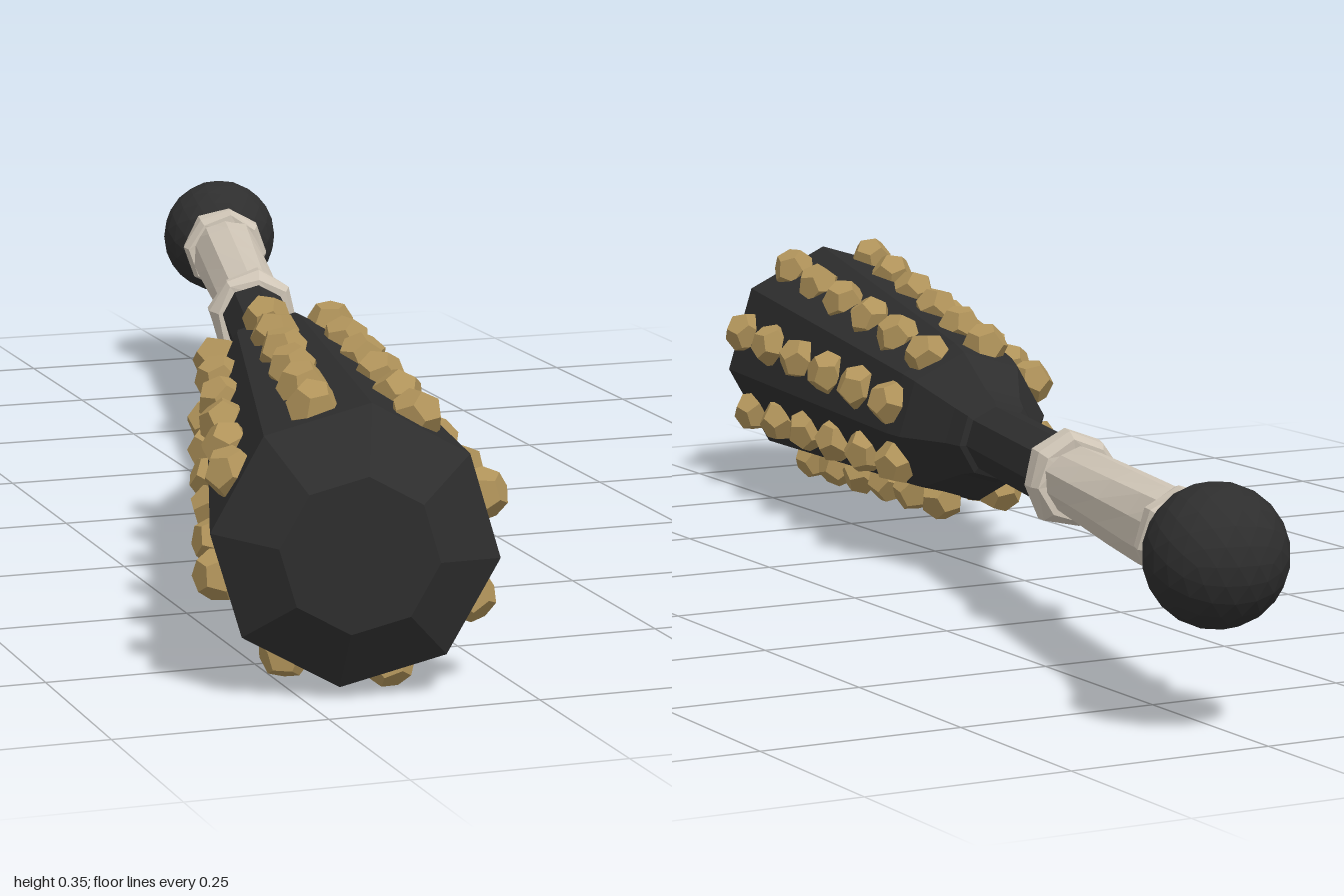
import * as THREE from 'three';

const black = new THREE.MeshStandardMaterial({ name: 'blackened wood', color: 0x2e2e2e, flatShading: true });
const bone = new THREE.MeshStandardMaterial({ name: 'pale bone', color: 0xd0c6b7, flatShading: true });
const brass = new THREE.MeshStandardMaterial({ name: 'dull brass', color: 0xb0935a, flatShading: true });

const DEG = Math.PI / 180;

// Faceted turned part; profile is [radius, distance along the axis].
function turned(name, profile, material, sides = 8, start = 39 * DEG) {
  const points = profile.map(([r, y]) => new THREE.Vector2(r, y));
  const mesh = new THREE.Mesh(new THREE.LatheGeometry(points, sides, start), material);
  mesh.name = name;
  return mesh;
}

// Uneven, hand-carved surface: the offset depends only on position, so seams stay closed.
function carve(mesh, amount) {
  const p = mesh.geometry.attributes.position;
  for (let i = 0; i < p.count; i++) {
    const x = p.getX(i), y = p.getY(i), z = p.getZ(i);
    const k = 1 + amount * Math.sin(x * 71 + y * 43 + z * 97);
    p.setXYZ(i, x * k, y + amount * 0.04 * Math.sin(x * 90 - z * 60), z * k);
  }
  mesh.geometry.computeVertexNormals();
  return mesh;
}

export function createModel() {
  const model = new THREE.Group();
  model.name = 'studdedClub';

  // Lay the club's own y axis from the pommel to the tip of the head.
  const base = new THREE.Vector3(0.268, 0.206, -0.917);
  const tip = new THREE.Vector3(-0.205, 0.179, 0.975);
  const axis = tip.clone().sub(base).normalize();
  const side = new THREE.Vector3(0, 1, 0).cross(axis).normalize();
  const club = new THREE.Group();
  club.name = 'club';
  club.quaternion.setFromRotationMatrix(
    new THREE.Matrix4().makeBasis(side, axis, side.clone().cross(axis)));
  club.position.copy(base);
  model.add(club);

  // Pommel ball
  const pommel = new THREE.Mesh(new THREE.IcosahedronGeometry(0.083, 3), black);
  pommel.name = 'pommel';
  club.add(pommel);

  // Bone grip with a knotted collar at each end
  club.add(carve(turned('grip', [
    [0.05, 0.09], [0.049, 0.2], [0.047, 0.33], [0.045, 0.46], [0.043, 0.59],
  ], bone, 10), 0.05));
  for (const [name, at, r] of [['pommelCollar', 0.112, 0.062], ['shaftCollar', 0.592, 0.06]]) {
    club.add(carve(turned(name, [
      [0.035, at - 0.03], [r * 0.87, at - 0.03], [r, at - 0.012],
      [r, at + 0.012], [r * 0.87, at + 0.03], [0.035, at + 0.03],
    ], bone), 0.05));
  }

  // Shaft
  club.add(turned('shaft', [[0.045, 0.58], [0.045, 0.99]], black));

  // Eight-sided head, flaring from the neck to a bevelled tip
  club.add(turned('head', [
    [0.03, 0.935], [0.053, 0.945], [0.062, 0.985], [0.1, 1.085],
    [0.107, 1.13], [0.163, 1.905], [0.09, 1.952], [0, 1.952],
  ], black));

  // Studs: six along each of the eight faces
  const studShape = new THREE.DodecahedronGeometry(0.031);
  for (let row = 0; row < 8; row++) {
    const angle = (16.5 + row * 45) * DEG;
    for (let i = 0; i < 6; i++) {
      const s = 1.13 + i * 0.144;
      const r = (0.107 + (s - 1.13) * 0.0723) * Math.cos(22.5 * DEG) + 0.007;
      const stud = new THREE.Mesh(studShape, brass);
      stud.name = 'stud';
      stud.position.set(r * Math.cos(angle), s, -r * Math.sin(angle));
      stud.rotation.set(row * 1.7 + i, angle, i * 2.3 + row);
      club.add(stud);
    }
  }
  return model;
}
